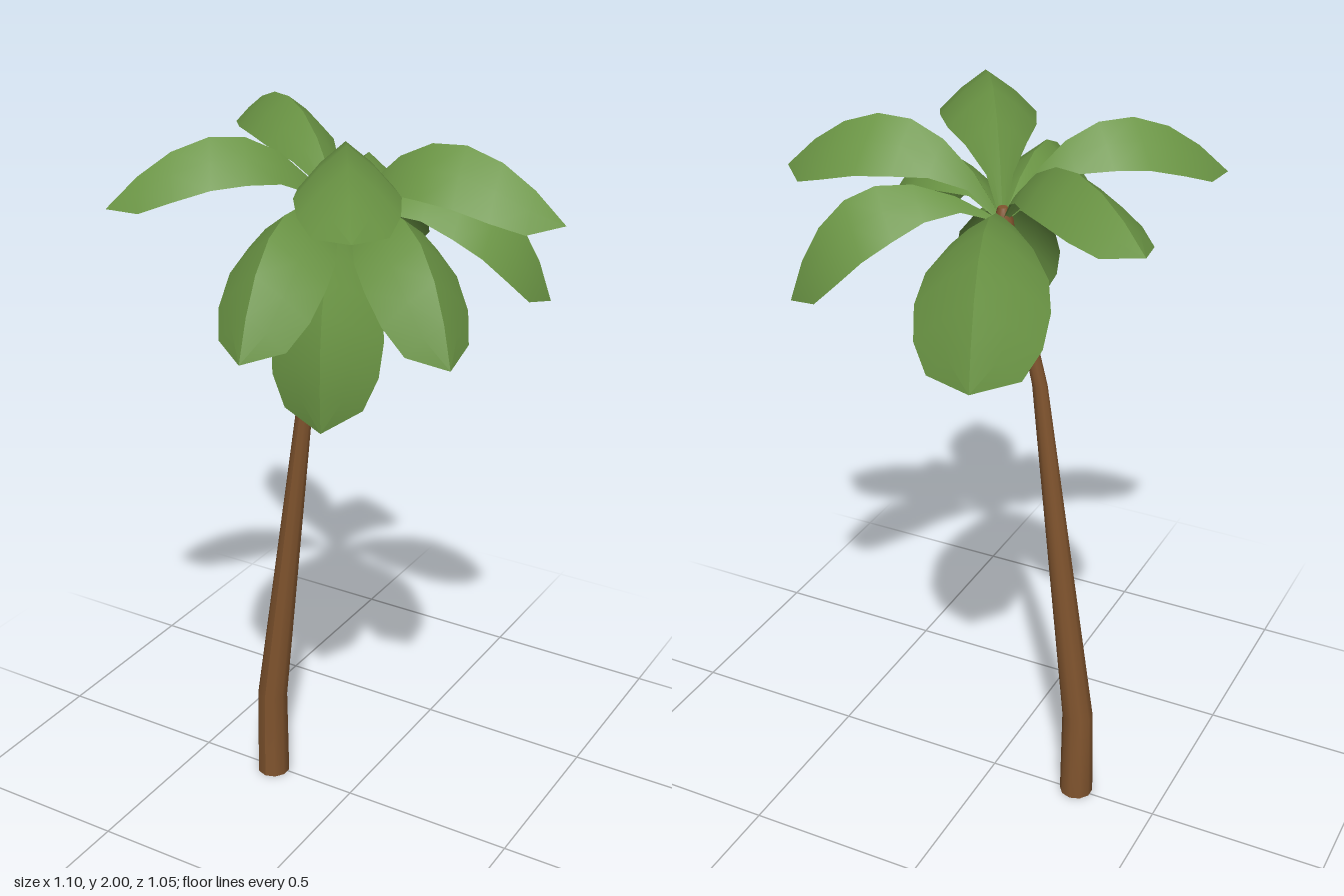
import * as THREE from 'three';

const leafGreen = new THREE.MeshStandardMaterial({ color: 0x6a9444, side: THREE.DoubleSide });
leafGreen.name = 'leaf green';
const barkBrown = new THREE.MeshStandardMaterial({ color: 0x80542e });
barkBrown.name = 'bark brown';

const crown = new THREE.Vector3(-0.03, 1.72, -0.015);

// Leaf outline: [position along the leaf, half width]
const outline = [
  [0, 0.005], [0.15, 0.035], [0.3, 0.08], [0.45, 0.118],
  [0.6, 0.13], [0.75, 0.122], [0.88, 0.09], [1, 0],
];

// Each leaf: tip x, y, z, arch height, width scale
const leaves = [
  [-0.195, 1.52, -0.525, 0.2, 1.22],
  [-0.55, 1.865, -0.395, 0.16, 0.78],
  [0.43, 1.52, -0.27, 0.2, 0.95],
  [0.545, 1.79, -0.07, 0.2, 0.97],
  [0.425, 1.52, 0.27, 0.2, 0.95],
  [0.28, 1.855, 0.47, 0.21, 0.95],
  [0.015, 1.54, 0.525, 0.2, 0.98],
  [-0.465, 1.79, 0.37, 0.2, 0.82],
  [0.13, 1.33, 0.36, 0.19, 1.05],
];

// Half a leaf: a strip from the arched midrib down to one edge
function halfLeaf(tip, arch, scale, side) {
  const chord = tip.clone().sub(crown);
  const across = new THREE.Vector3(-chord.z, 0, chord.x).normalize();
  const up = across.clone().cross(chord).normalize();
  if (up.y < 0) up.negate();
  const points = [];
  const index = [];
  outline.forEach(([t, w], i) => {
    const rib = crown.clone().addScaledVector(chord, t).addScaledVector(up, 4 * arch * t * (1 - t));
    const half = w * scale;
    for (const [out, drop] of [[0, 0], [0.52, 0.42], [1, 0.95]]) {
      const p = rib.clone().addScaledVector(across, side * half * out).addScaledVector(up, -half * drop);
      points.push(p.x, p.y, p.z);
    }
    if (i === 0) return;
    for (let k = 0; k < 2; k++) {
      const a = (i - 1) * 3 + k, b = a + 1, c = a + 3, d = a + 4;
      if (side > 0) index.push(a, c, b, b, c, d);
      else index.push(a, b, c, b, d, c);
    }
  });
  // Wind faces so that the upper side is the front
  const g = new THREE.BufferGeometry();
  g.setAttribute('position', new THREE.Float32BufferAttribute(points, 3));
  g.setIndex(index);
  g.computeVertexNormals();
  if (g.attributes.normal.getY(10) < 0) {
    g.setIndex(index.reverse());
    g.computeVertexNormals();
  }
  return g;
}

// Trunk rings from top to bottom: x, y, z, radius
const rings = [
  [-0.028, 1.755, -0.012, 0.012],
  [-0.03, 1.725, -0.012, 0.025],
  [-0.036, 1.69, -0.011, 0.023],
  [-0.052, 1.62, -0.01, 0.016],
  [-0.13, 1.29, -0.004, 0.02],
  [-0.258, 0.27, 0.005, 0.043],
  [-0.26, 0, 0.006, 0.047],
];

function trunkGeometry() {
  const n = rings.length - 1;
  const g = new THREE.CylinderGeometry(1, 1, 1, 10, n);
  const p = g.attributes.position;
  for (let i = 0; i < p.count; i++) {
    const [x, y, z, r] = rings[Math.round((0.5 - p.getY(i)) * n)];
    p.setXYZ(i, x + p.getX(i) * r, y, z + p.getZ(i) * r);
  }
  g.computeVertexNormals();
  return g;
}

export function createModel() {
  const model = new THREE.Group();
  model.name = 'palmTree';

  const trunk = new THREE.Mesh(trunkGeometry(), barkBrown);
  trunk.name = 'trunk';
  model.add(trunk);

  // Crown of folded, arching leaves
  leaves.forEach(([x, y, z, arch, scale], i) => {
    const leaf = new THREE.Group();
    leaf.name = `leaf${i + 1}`;
    for (const side of [1, -1]) {
      const half = new THREE.Mesh(halfLeaf(new THREE.Vector3(x, y, z), arch, scale, side), leafGreen);
      half.name = side > 0 ? 'leafHalfA' : 'leafHalfB';
      leaf.add(half);
    }
    model.add(leaf);
  });
  return model;
}
